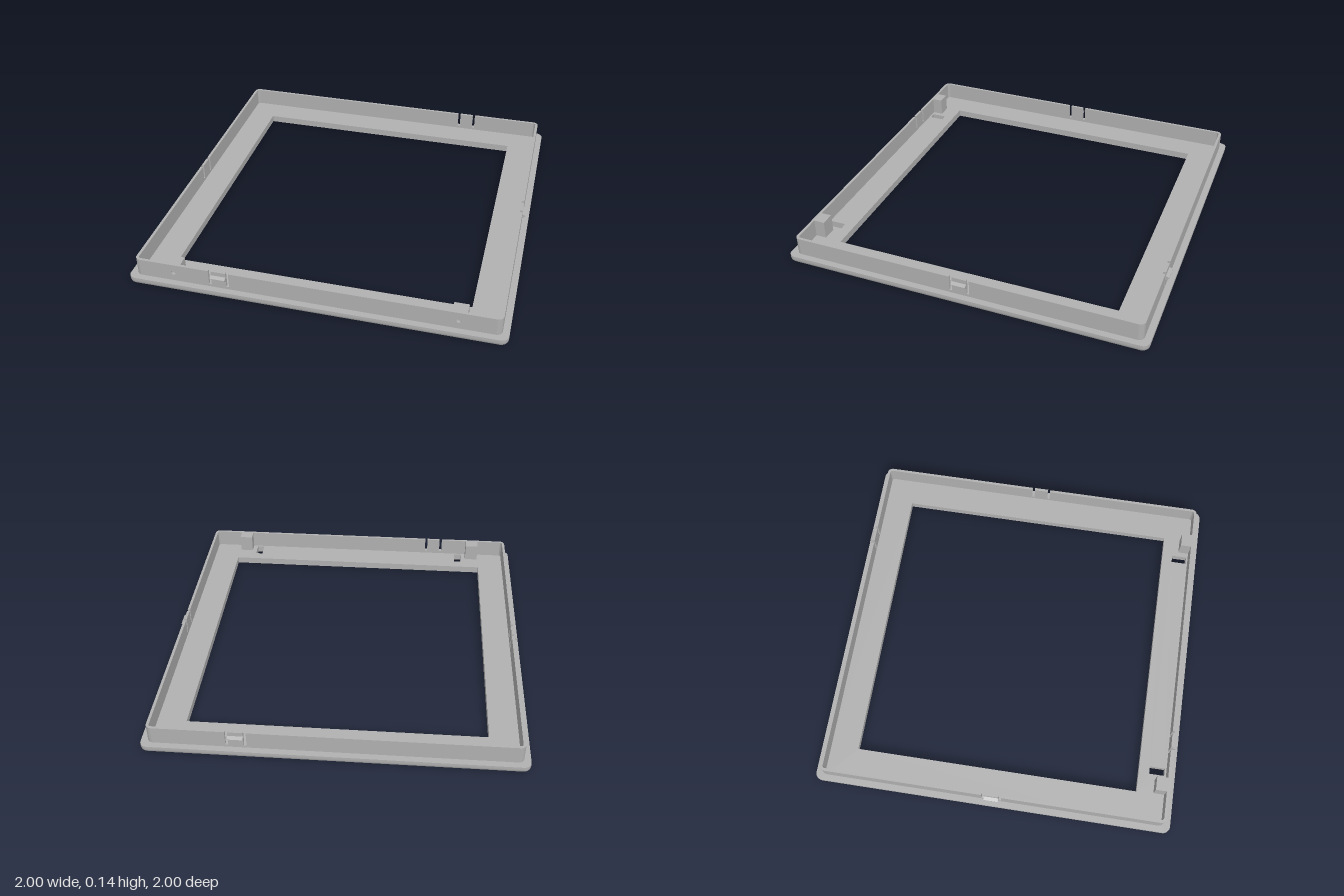
import * as THREE from 'three';
import { toCreasedNormals } from 'three/addons/utils/BufferGeometryUtils.js';

const grey = new THREE.MeshStandardMaterial({ color: 0xb0b0b0 });
grey.name = 'grey plastic';

const FLANGE = 0.04, TOP = 0.14;            // flange top and wall top
const OUT = 0.965, THICK = 0.015, R = 0.03; // wall outside, thickness, corner radius
const STRAIGHT = OUT - R;

function mesh(name, geometry, parent) {
  const m = new THREE.Mesh(geometry, grey);
  m.name = name;
  parent.add(m);
  return m;
}

function rectPath(x0, x1, y0, y1) {
  return new THREE.Path([[x0, y0], [x0, y1], [x1, y1], [x1, y0]].map(p => new THREE.Vector2(...p)));
}

function roundedSquare(h, r) {
  const s = new THREE.Shape(), c = h - r;
  s.absarc(c, c, r, 0, Math.PI / 2);
  s.absarc(-c, c, r, Math.PI / 2, Math.PI);
  s.absarc(-c, -c, r, Math.PI, Math.PI * 1.5);
  s.absarc(c, -c, r, Math.PI * 1.5, Math.PI * 2);
  s.closePath();
  return s;
}

// Flat frame with window, two through slots and a rounded lower outer edge
function flangeGeometry() {
  const r = 0.04, core = 1 - r;
  const shape = roundedSquare(1, r);
  shape.holes.push(rectPath(-0.795, 0.795, -0.795, 0.795));
  for (const s of [-1, 1]) {
    shape.holes.push(rectPath(s * 0.663 - 0.021, s * 0.663 + 0.021, -0.94, -0.855));
  }
  const g = new THREE.ExtrudeGeometry(shape, { depth: FLANGE, steps: 4, bevelEnabled: false, curveSegments: 8 });
  g.rotateX(-Math.PI / 2);
  const p = g.attributes.position, n = new THREE.Vector2();
  for (let i = 0; i < p.count; i++) {
    const x = p.getX(i), y = p.getY(i), z = p.getZ(i);
    const inset = y < 0.005 ? 0.012 : y < 0.015 ? 0.003 : 0;
    n.set(x - THREE.MathUtils.clamp(x, -core, core), z - THREE.MathUtils.clamp(z, -core, core));
    if (n.length() > 1e-4) {
      n.setLength(inset);
      p.setXYZ(i, x - n.x, y, z - n.y);
    }
  }
  return toCreasedNormals(g, 0.6);
}

// One wall run, notched on both sides of its clip
function wallGeometry(clip, holes) {
  const s = new THREE.Shape();
  s.moveTo(-STRAIGHT, FLANGE);
  s.lineTo(STRAIGHT, FLANGE);
  s.lineTo(STRAIGHT, TOP);
  for (const [a, b] of [[0.055, 0.04], [-0.04, -0.055]]) {
    s.lineTo(clip + a, TOP);
    s.lineTo(clip + a, 0.055);
    s.lineTo(clip + b, 0.055);
    s.lineTo(clip + b, TOP);
  }
  s.lineTo(-STRAIGHT, TOP);
  s.closePath();
  for (const x of holes) {
    s.holes.push(new THREE.Path().absarc(x, 0.09, 0.013, 0, Math.PI * 2, true));
  }
  const g = new THREE.ExtrudeGeometry(s, { depth: THICK, bevelEnabled: false });
  return g.translate(0, 0, OUT - THICK);
}

// Quarter-round wall corner
function cornerGeometry() {
  const s = new THREE.Shape();
  s.absarc(0, 0, R, 0, Math.PI / 2, false);
  s.absarc(0, 0, R - THICK, Math.PI / 2, 0, true);
  s.closePath();
  const g = new THREE.ExtrudeGeometry(s, { depth: TOP - FLANGE, bevelEnabled: false, curveSegments: 8 });
  g.rotateX(-Math.PI / 2);
  g.translate(STRAIGHT, FLANGE, -STRAIGHT);
  return toCreasedNormals(g, 0.6);
}

// Wedge-shaped catch on a clip
function catchGeometry(clip) {
  const s = new THREE.Shape([[0, 0.088], [0.019, 0.104], [0.019, 0.108], [0, 0.116]].map(p => new THREE.Vector2(...p)));
  const g = new THREE.ExtrudeGeometry(s, { depth: 0.08, bevelEnabled: false });
  g.translate(0, 0, -0.04);
  g.rotateY(-Math.PI / 2);
  return g.translate(clip, 0, OUT);
}

export function createModel() {
  const root = new THREE.Group();
  root.name = 'snapInFrame';
  mesh('flange', flangeGeometry(), root);

  // Four walls: front, left, back, right
  const sides = [
    ['front', -0.5, [-0.75, 0.75]],
    ['left', 0, []],
    ['back', -0.5, []],
    ['right', 0, []],
  ];
  sides.forEach(([name, clip, holes], i) => {
    const side = new THREE.Group();
    side.name = name + 'Side';
    side.rotation.y = i * Math.PI / 2;
    mesh(name + 'Wall', wallGeometry(clip, holes), side);
    mesh(name + 'Catch', catchGeometry(clip), side);
    mesh(name + 'Corner', cornerGeometry(), side);
    root.add(side);
  });

  // Screw blocks behind the front wall
  for (const s of [-1, 1]) {
    const block = mesh('screwBlock', new THREE.BoxGeometry(0.077, TOP - FLANGE, 0.06), root);
    block.position.set(s * 0.751, (TOP + FLANGE) / 2, 0.92);
  }
  return root;
}
